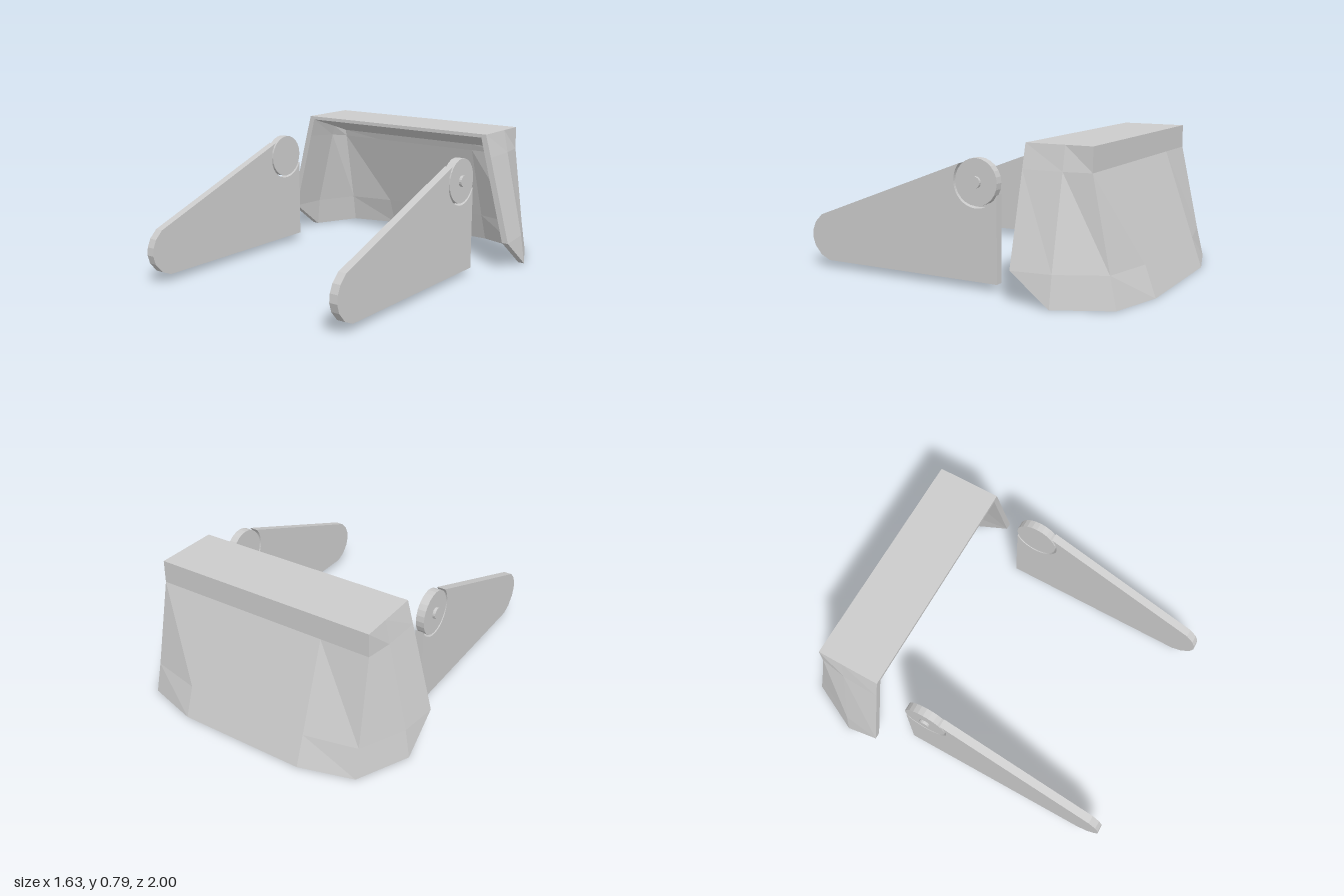
import * as THREE from 'three';

const material = new THREE.MeshStandardMaterial({ color: 0xcccccc, flatShading: true });

// Mirror half a section (front -> middle -> corner -> back) to a full U-shaped section
function section(half) {
  const right = half.map(p => new THREE.Vector3(...p));
  const left = right.map(p => new THREE.Vector3(-p.x, p.y, p.z)).reverse();
  return [...right, ...left];
}

// Thick, flared hood: outer and inner skins joined along the rims
function createHood() {
  const outer = [
    [[0.65, 0.79, -0.4], [0.65, 0.79, -0.62], [0.65, 0.79, -0.77], [0.37, 0.79, -0.77]],
    [[0.685, 0.66, -0.4], [0.677, 0.66, -0.62], [0.652, 0.66, -0.77], [0.37, 0.66, -0.77]],
    [[0.815, 0.17, -0.4], [0.788, 0.17, -0.62], [0.665, 0.17, -0.874], [0.37, 0.17, -0.94]],
    [[0.815, 0, -0.62], [0.815, 0, -0.62], [0.672, 0, -0.913], [0.37, 0, -1]],
  ].map(section);
  const inner = [
    [[0.62, 0.77, -0.4], [0.622, 0.70, -0.62], [0.622, 0.66, -0.74], [0.36, 0.66, -0.74]],
    [[0.648, 0.66, -0.4], [0.642, 0.64, -0.62], [0.624, 0.62, -0.752], [0.36, 0.62, -0.755]],
    [[0.777, 0.17, -0.4], [0.752, 0.17, -0.61], [0.635, 0.17, -0.848], [0.36, 0.17, -0.907]],
    [[0.777, 0, -0.62], [0.777, 0, -0.62], [0.645, 0, -0.886], [0.36, 0, -0.967]],
  ].map(section);

  const pos = [];
  const tri = (a, b, c) => {
    if (new THREE.Triangle(a, b, c).getArea() < 1e-7) return;
    for (const p of [a, b, c]) pos.push(p.x, p.y, p.z);
  };
  const quad = (a, b, c, d) => { tri(a, b, c); tri(a, c, d); };

  // Skins and bottom rim as one continuous sheet
  const rows = [...outer, ...[...inner].reverse()];
  for (let i = 0; i < rows.length - 1; i++)
    for (let j = 0; j < 7; j++)
      quad(rows[i][j], rows[i + 1][j], rows[i + 1][j + 1], rows[i][j + 1]);

  // Roof and sloping ceiling
  const roof = outer[0], ceiling = inner[0];
  for (let j = 0; j < 3; j++) {
    quad(roof[j], roof[j + 1], roof[6 - j], roof[7 - j]);
    quad(ceiling[7 - j], ceiling[6 - j], ceiling[j + 1], ceiling[j]);
  }

  // Front rim: top, then both sides
  quad(roof[0], roof[7], ceiling[7], ceiling[0]);
  for (let i = 0; i < 3; i++) {
    quad(outer[i][0], inner[i][0], inner[i + 1][0], outer[i + 1][0]);
    quad(outer[i + 1][7], inner[i + 1][7], inner[i][7], outer[i][7]);
  }

  const geometry = new THREE.BufferGeometry();
  geometry.setAttribute('position', new THREE.Float32BufferAttribute(pos, 3));
  geometry.computeVertexNormals();
  const mesh = new THREE.Mesh(geometry, material);
  mesh.name = 'hood';
  return mesh;
}

const PIVOT = { z: -0.115, y: 0.57 };
const INNER_X = 0.616, OUTER_X = 0.664;

// Arm plate with a rounded tip and a circular notch round the pivot
function createArmPlate(side) {
  const shape = new THREE.Shape();
  shape.moveTo(-0.24, 0.04);
  for (const [z, y] of [[0.88, 0.04], [0.94, 0.067], [0.985, 0.12], [1, 0.17],
    [0.995, 0.215], [0.975, 0.26], [0.93, 0.305], [-0.013, 0.663]]) shape.lineTo(z, y);
  shape.absarc(PIVOT.z, PIVOT.y, 0.138, 0.73, -2.7, true);
  shape.lineTo(-0.24, 0.04);
  const geometry = new THREE.ExtrudeGeometry(shape, {
    depth: OUTER_X - INNER_X, bevelEnabled: false, curveSegments: 16,
  });
  geometry.rotateY(-Math.PI / 2);
  const mesh = new THREE.Mesh(geometry, material);
  mesh.name = 'armPlate';
  mesh.position.x = side > 0 ? OUTER_X : -INNER_X;
  return mesh;
}

// Disc lying across the x axis at the pivot
function createPivotDisc(name, radius, x0, x1, side, segments) {
  const geometry = new THREE.CylinderGeometry(radius, radius, x1 - x0, segments);
  geometry.rotateZ(Math.PI / 2);
  const mesh = new THREE.Mesh(geometry, material);
  mesh.name = name;
  mesh.position.set(side * (x0 + x1) / 2, PIVOT.y, PIVOT.z);
  return mesh;
}

export function createModel() {
  const model = new THREE.Group();
  model.name = 'hoodWithArms';
  model.add(createHood());
  for (const side of [1, -1]) {
    const arm = new THREE.Group();
    arm.name = side > 0 ? 'leftArm' : 'rightArm';
    arm.add(
      createArmPlate(side),
      createPivotDisc('pivotDisc', 0.126, INNER_X, OUTER_X, side, 24),
      createPivotDisc('pivotPin', 0.032, 0.64, 0.68, side, 16),
    );
    model.add(arm);
  }
  return model;
}
